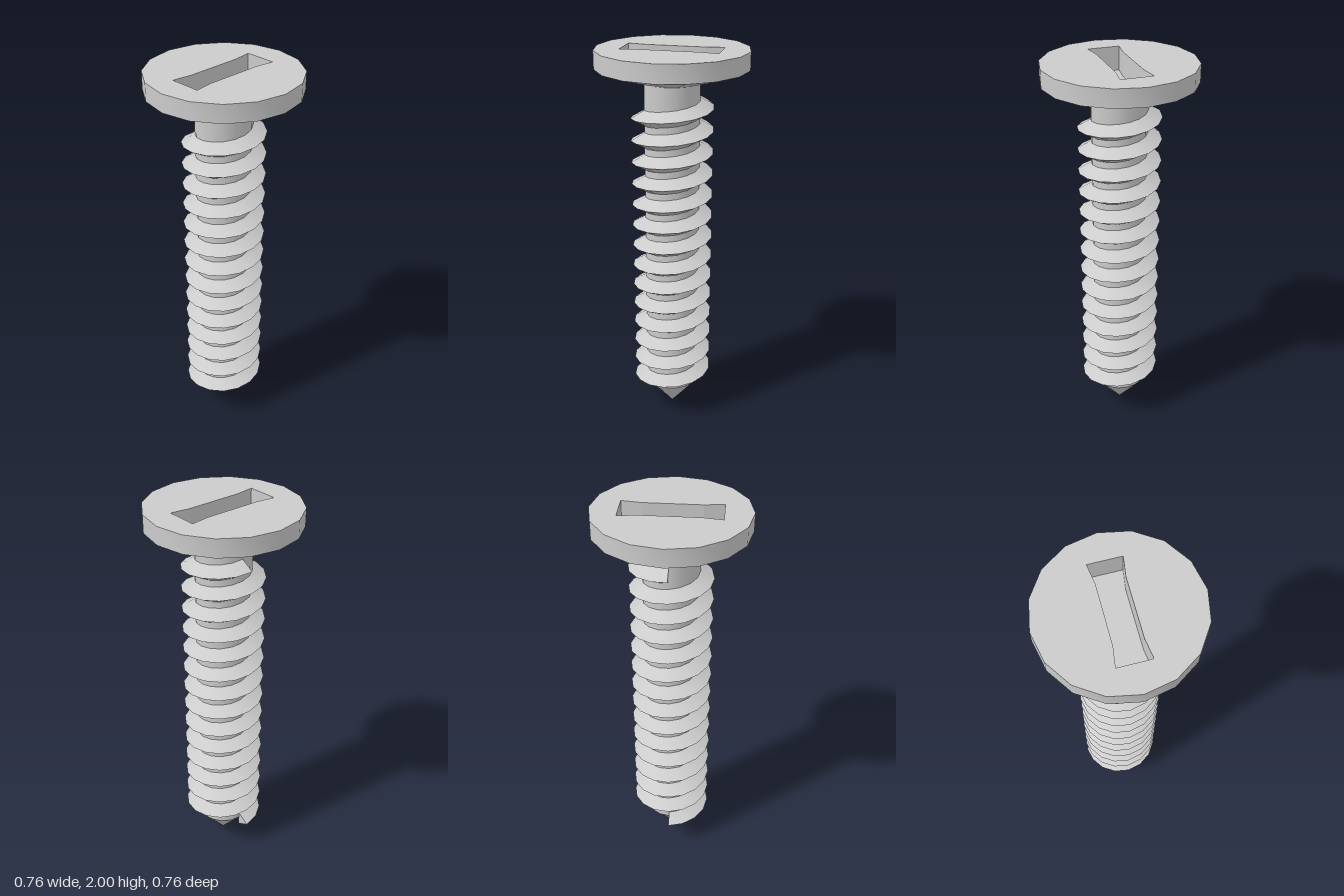
import * as THREE from 'three';
import { toCreasedNormals } from 'three/addons/utils/BufferGeometryUtils.js';

const SIDES = 16;
const HEAD_R = 0.38, ROOT_R = 0.14, CREST_R = 0.208;
const TOP = 2, SLOT_FLOOR = 1.88;

const material = new THREE.MeshStandardMaterial({ color: 0xcccccc });

function addMesh(group, name, geometry) {
  const mesh = new THREE.Mesh(geometry, material);
  mesh.name = name;
  group.add(mesh);
}

function fromTriangles(points) {
  const geometry = new THREE.BufferGeometry().setFromPoints(points);
  geometry.computeVertexNormals();
  return geometry;
}

function lathe(profile) {
  const points = profile.map(([r, y]) => new THREE.Vector2(r, y));
  return toCreasedNormals(new THREE.LatheGeometry(points, SIDES), 0.5);
}

// Triangular ridge swept up a helix, closed at both ends
function threadGeometry({ startY, pitch, turns, halfHeight }) {
  const section = [[ROOT_R - 0.003, halfHeight], [CREST_R, 0], [ROOT_R - 0.003, -halfHeight]];
  const ring = (i) => {
    const t = (i / SIDES) * Math.PI * 2;
    const y = startY + (pitch * i) / SIDES;
    return section.map(([r, dy]) => new THREE.Vector3(-r * Math.cos(t), y + dy, r * Math.sin(t)));
  };
  const steps = turns * SIDES;
  const points = [];
  for (let i = 0; i < steps; i++) {
    const a = ring(i), b = ring(i + 1);
    for (let j = 0; j < 3; j++) {
      const k = (j + 1) % 3;
      points.push(a[j], a[k], b[k], a[j], b[k], b[j]);
    }
  }
  const first = ring(0), last = ring(steps);
  points.push(first[0], first[2], first[1], last[0], last[1], last[2]);
  return toCreasedNormals(fromTriangles(points), 0.5);
}

// Slot outline, flared at both ends, counter-clockwise
const slotOutline = [
  [0.08, -0.242], [0.066, -0.145], [0.066, 0.145], [0.08, 0.242],
  [-0.08, 0.242], [-0.066, 0.145], [-0.066, -0.145], [-0.08, -0.242],
].map(([x, y]) => new THREE.Vector2(x, y));

function flatShape(shape, y) {
  return new THREE.ShapeGeometry(shape).rotateX(-Math.PI / 2).translate(0, y, 0);
}

function slotWalls() {
  const at = (p, y) => new THREE.Vector3(p.x, y, -p.y);
  const points = [];
  slotOutline.forEach((a, i) => {
    const b = slotOutline[(i + 1) % slotOutline.length];
    points.push(at(a, TOP), at(b, TOP), at(b, SLOT_FLOOR));
    points.push(at(a, TOP), at(b, SLOT_FLOOR), at(a, SLOT_FLOOR));
  });
  return fromTriangles(points);
}

export function createModel() {
  const screw = new THREE.Group();
  screw.name = 'screw';

  // Pointed shank and its thread
  addMesh(screw, 'shank', lathe([[0, 0], [ROOT_R, 0.17], [ROOT_R, 1.84]]));
  addMesh(screw, 'thread', threadGeometry({ startY: 0.16, pitch: 0.1129, turns: 14, halfHeight: 0.041 }));

  // Head: tapered underside, rim, slotted top
  const head = new THREE.Group();
  head.name = 'head';
  screw.add(head);
  addMesh(head, 'headRim', lathe([[ROOT_R, 1.84], [HEAD_R, 1.91], [HEAD_R, TOP]]));

  const disc = new THREE.Shape();
  for (let i = 0; i < SIDES; i++) {
    const a = (i / SIDES) * Math.PI * 2;
    const x = HEAD_R * Math.cos(a), y = HEAD_R * Math.sin(a);
    if (i === 0) disc.moveTo(x, y);
    else disc.lineTo(x, y);
  }
  disc.holes.push(new THREE.Path(slotOutline));
  addMesh(head, 'headTop', flatShape(disc, TOP));
  addMesh(head, 'slotWalls', slotWalls());
  addMesh(head, 'slotFloor', flatShape(new THREE.Shape(slotOutline), SLOT_FLOOR));

  return screw;
}
